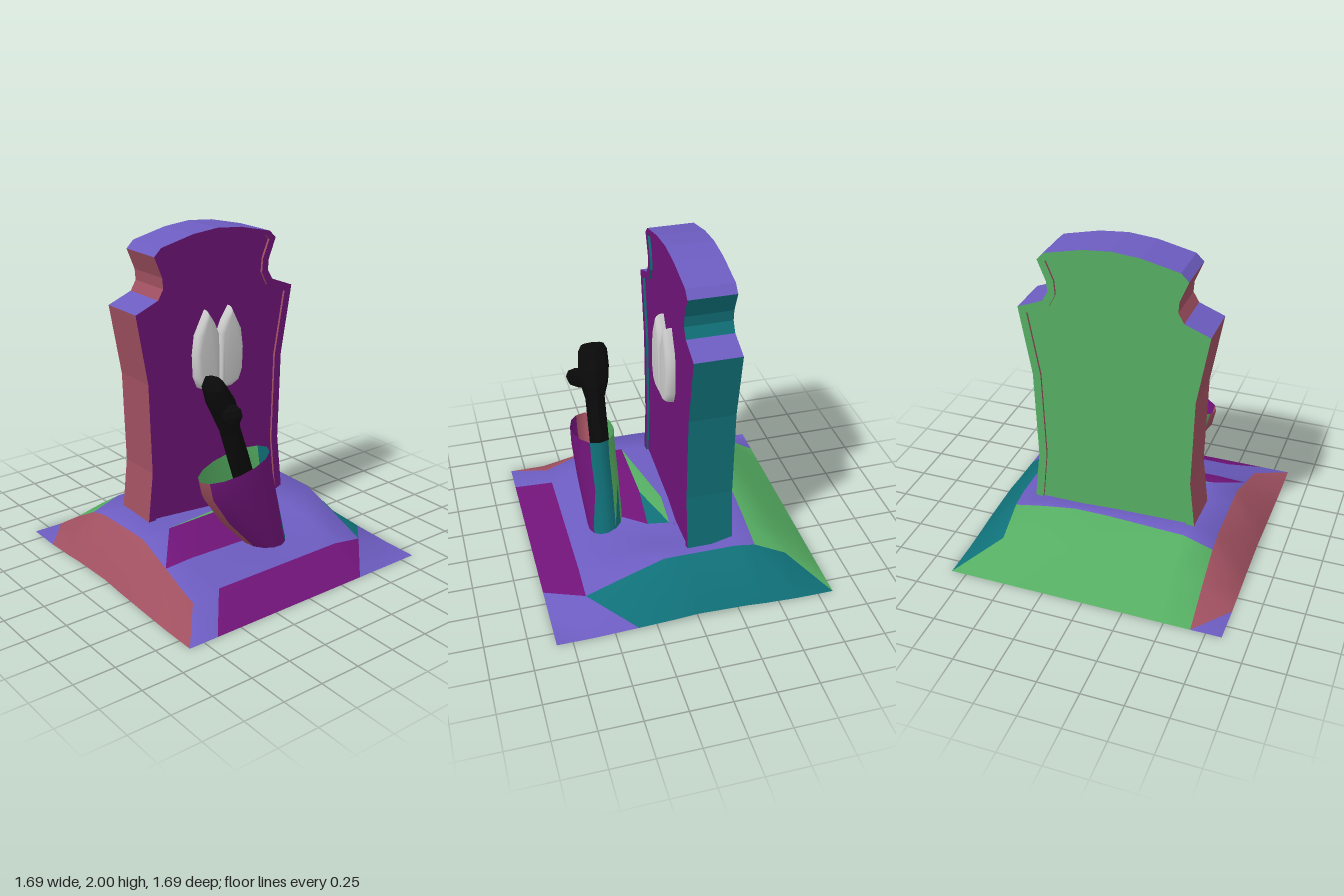
import * as THREE from 'three';
import { toCreasedNormals } from 'three/addons/utils/BufferGeometryUtils.js';

// One colour per facing direction: +x, -x, +y, -y, +z, -z
const tints = [0x107078, 0xa05060, 0x6c5cc0, 0x3a3510, 0x701478, 0x55ad62].map(
  (color) => new THREE.MeshStandardMaterial({ color, side: THREE.DoubleSide }));
const black = new THREE.MeshStandardMaterial({ color: 0x0a0a0a, flatShading: true });
const grey = new THREE.MeshStandardMaterial({ color: 0xcccccc });

function add(parent, name, geometry, material) {
  const mesh = new THREE.Mesh(geometry, material);
  mesh.name = name;
  parent.add(mesh);
  return mesh;
}

// Sort triangles into six groups by the way they face
function tintByFacing(source, yWeight = 1) {
  const geo = source.index ? source.toNonIndexed() : source;
  const pos = geo.attributes.position;
  const buckets = [[], [], [], [], [], []];
  const tri = new THREE.Triangle(), n = new THREE.Vector3();
  for (let i = 0; i < pos.count; i += 3) {
    tri.setFromAttributeAndIndices(pos, i, i + 1, i + 2).getNormal(n);
    const w = [n.x, n.y * yWeight, n.z];
    const axis = [0, 1, 2].reduce((a, b) => (Math.abs(w[b]) > Math.abs(w[a]) ? b : a));
    buckets[axis * 2 + (w[axis] < 0 ? 1 : 0)].push(i, i + 1, i + 2);
  }
  geo.clearGroups();
  geo.setIndex(buckets.flat());
  let start = 0;
  buckets.forEach((b, k) => {
    if (b.length) geo.addGroup(start, b.length, k);
    start += b.length;
  });
  return geo;
}

// Skin over elliptical rings [cx, cy, cz, rx, rz, slope], listed bottom to top
function loft(rings, sides, capped) {
  const verts = [], index = [];
  for (const [cx, cy, cz, rx, rz, slope] of rings) {
    for (let s = 0; s < sides; s++) {
      const a = (s / sides) * Math.PI * 2;
      const dx = rx * Math.cos(a);
      verts.push(cx + dx, cy + slope * dx, cz + rz * Math.sin(a));
    }
  }
  for (let r = 0; r < rings.length - 1; r++) {
    for (let s = 0; s < sides; s++) {
      const t = (s + 1) % sides, a = r * sides, b = a + sides;
      index.push(a + s, b + s, a + t, b + s, b + t, a + t);
    }
  }
  if (capped) {
    const top = (rings.length - 1) * sides;
    for (let s = 1; s < sides - 1; s++) {
      index.push(0, s, s + 1, top, top + s + 1, top + s);
    }
  }
  const geo = new THREE.BufferGeometry();
  geo.setAttribute('position', new THREE.Float32BufferAttribute(verts, 3));
  geo.setIndex(index);
  geo.computeVertexNormals();
  return geo;
}

// Full symmetrical outline from its right half, bottom to top centre
function mirrored(half) {
  const left = half.filter(([x]) => x > 0).map(([x, y]) => [-x, y]).reverse();
  return [...half, ...left].map(([x, y]) => new THREE.Vector2(x, y));
}

function slab(shape, z, depth) {
  const geo = new THREE.ExtrudeGeometry(shape, { depth, bevelEnabled: false });
  return tintByFacing(geo.translate(0, 0, z));
}

export function createModel() {
  const model = new THREE.Group();
  model.name = 'gravestoneScene';

  // Earth mound: an open sheet of uneven heights
  const xs = [-0.845, -0.66, -0.48, 0, 0.2, 0.4, 0.6, 0.845];
  const zs = [-0.845, -0.62, -0.42, -0.3, 0, 0.14, 0.36, 0.62, 0.845];
  const heights = [
    [0, 0, 0, 0, 0, 0, 0, 0],
    [0, 0.14, 0.18, 0.19, 0.19, 0.18, 0.15, 0],
    [0.01, 0.25, 0.31, 0.33, 0.33, 0.3, 0.26, 0.01],
    [0.02, 0.28, 0.3, 0.29, 0.28, 0.28, 0.28, 0.02],
    [0.03, 0.29, 0.29, 0.25, 0.2, 0.21, 0.28, 0.03],
    [0.02, 0.29, 0.31, 0.32, 0.22, 0.22, 0.28, 0.02],
    [0.01, 0.2, 0.21, 0.2, 0.19, 0.2, 0.2, 0.01],
    [0, 0.1, 0.13, 0.13, 0.13, 0.13, 0.1, 0],
    [0, 0, 0, 0, 0, 0, 0, 0],
  ];
  const ground = new THREE.PlaneGeometry(1, 1, xs.length - 1, zs.length - 1);
  for (let r = 0; r < zs.length; r++) {
    for (let c = 0; c < xs.length; c++) {
      ground.attributes.position.setXYZ(r * xs.length + c, xs[c], heights[r][c], zs[r]);
    }
  }
  ground.computeVertexNormals();
  add(model, 'earthMound', tintByFacing(ground, 0.45), tints);

  // Gravestone: a core with a thin raised rim on both faces
  const stone = new THREE.Group();
  stone.name = 'gravestone';
  model.add(stone);
  const outer = mirrored([[0.53, 0.13], [0.51, 0.31], [0.478, 0.6], [0.494, 1.155], [0.568, 1.58],
    [0.415, 1.64], [0.38, 1.7], [0.385, 1.765], [0.436, 1.89], [0.39, 1.935], [0.17, 1.985], [0, 2]]);
  const inner = mirrored([[0.475, 0.21], [0.458, 0.33], [0.43, 0.6], [0.446, 1.155], [0.515, 1.55],
    [0.375, 1.61], [0.335, 1.69], [0.342, 1.775], [0.388, 1.885], [0.365, 1.91], [0.17, 1.955], [0, 1.97]]);
  add(stone, 'stoneCore', slab(new THREE.Shape(outer), -0.29, 0.25), tints);
  const rim = new THREE.Shape(outer);
  rim.holes.push(new THREE.Path(inner));
  add(stone, 'frontRim', slab(rim, -0.04, 0.015), tints);
  add(stone, 'backRim', slab(rim, -0.305, 0.015), tints);

  // Two-lobed carving on the front face
  const lobe = new THREE.Shape([[0.03, 1.065], [0.08, 1.065], [0.12, 1.085], [0.142, 1.14],
    [0.147, 1.27], [0.132, 1.38], [0.085, 1.488], [0.06, 1.44], [0.03, 1.37]]
    .map(([x, y]) => new THREE.Vector2(x, y)));
  const lobeGeo = new THREE.ExtrudeGeometry(lobe, {
    depth: 0.02, bevelThickness: 0.035, bevelSize: 0.03, bevelSegments: 4 });
  for (const side of [1, -1]) {
    const mesh = add(model, side > 0 ? 'leftLobe' : 'rightLobe', toCreasedNormals(lobeGeo, 0.8), grey);
    mesh.scale.x = side;
    mesh.position.z = -0.04;
  }

  // Torn sleeve: an open, leaning, flattened tube
  const sleeve = loft([
    [0.1, 0.09, 0.38, 0.1, 0.1, 0.2],
    [0.05, 0.185, 0.38, 0.12, 0.11, 0.2],
    [-0.088, 0.425, 0.385, 0.198, 0.125, 0.18],
    [-0.175, 0.62, 0.39, 0.235, 0.13, 0.2],
    [-0.195, 0.73, 0.39, 0.24, 0.13, 0.2],
  ], 14, false);
  add(model, 'sleeve', tintByFacing(sleeve), tints);

  // Arm and closed hand
  const arm = loft([
    [0.07, 0.06, 0.36, 0.06, 0.06, 0.3],
    [-0.145, 0.755, 0.36, 0.065, 0.06, 0.25],
    [-0.205, 0.94, 0.36, 0.06, 0.06, 0.3],
    [-0.23, 1.03, 0.355, 0.07, 0.085, 0.3],
    [-0.265, 1.12, 0.35, 0.075, 0.095, 0.3],
    [-0.305, 1.215, 0.345, 0.055, 0.09, 0.3],
    [-0.31, 1.255, 0.345, 0.035, 0.07, 0.2],
  ], 8, true);
  add(model, 'armAndHand', arm, black);
  const thumb = add(model, 'thumb', new THREE.SphereGeometry(1, 6, 5), black);
  thumb.scale.set(0.045, 0.065, 0.1);
  thumb.position.set(-0.26, 1.06, 0.435);
  thumb.rotation.x = -0.4;

  return model;
}
